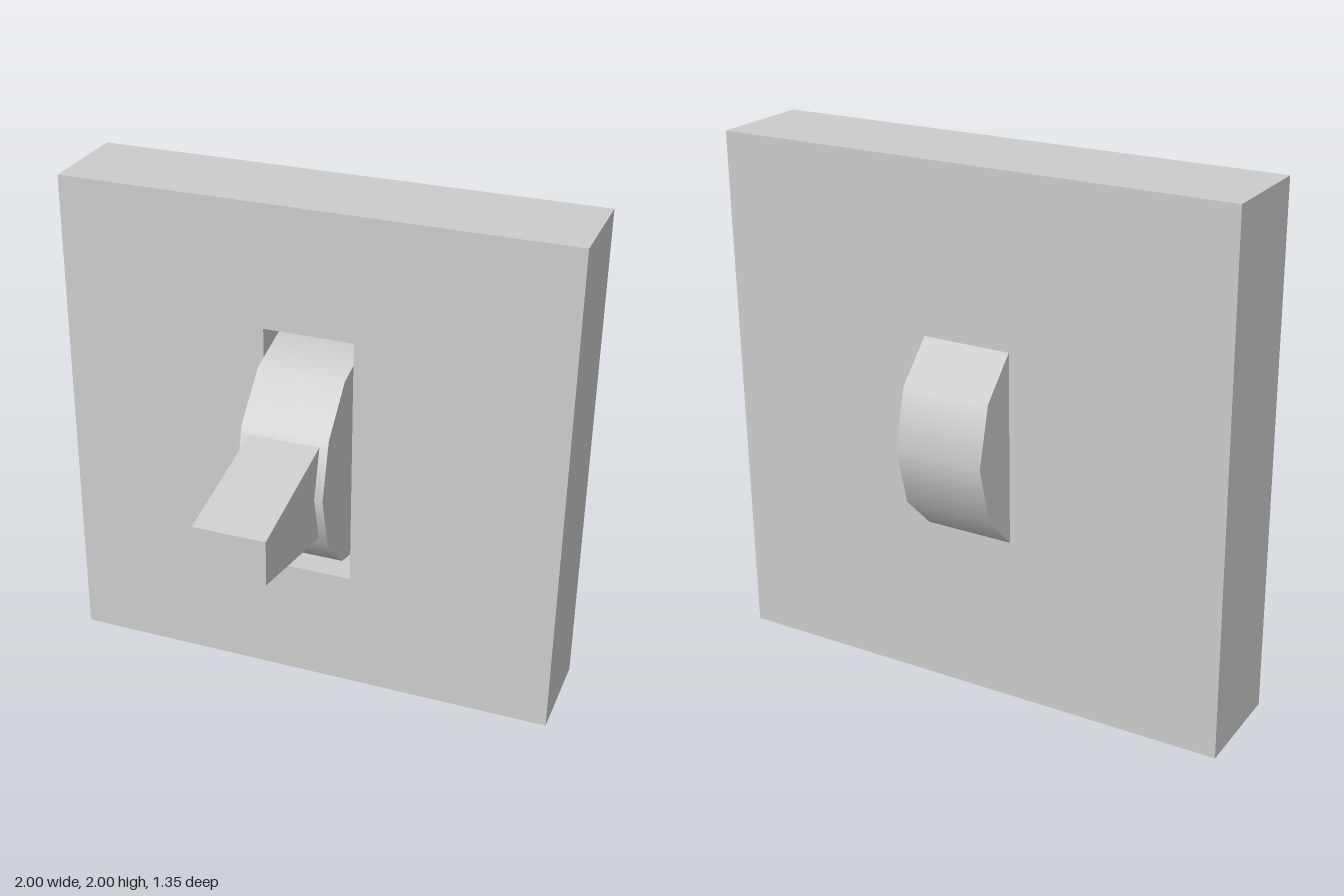
import * as THREE from 'three';

const material = new THREE.MeshStandardMaterial({ color: 0xcccccc });

function add(group, name, geometry) {
  const mesh = new THREE.Mesh(geometry, material);
  mesh.name = name;
  group.add(mesh);
  return mesh;
}

export function createModel() {
  const group = new THREE.Group();
  group.name = 'toggleSwitch';

  const backZ = -0.475, frontZ = -0.075, recess = 0.3;
  const backThickness = frontZ - backZ - recess;
  const offsetX = -0.0025; // the moving parts sit a hair off centre

  // Square plate, front layer with the slot cut out
  const face = new THREE.Shape();
  face.moveTo(-1, 0).lineTo(1, 0).lineTo(1, 2).lineTo(-1, 2).closePath();
  const slot = new THREE.Path();
  slot.moveTo(-0.18, 0.49).lineTo(-0.18, 1.51).lineTo(0.176, 1.51).lineTo(0.176, 0.49).closePath();
  face.holes.push(slot);
  const front = new THREE.ExtrudeGeometry(face, { depth: recess, bevelEnabled: false });
  front.translate(0, 0, frontZ - recess);
  add(group, 'slottedPlate', front);

  // Solid back layer, which forms the slot floor
  const back = new THREE.BoxGeometry(2, 2, backThickness);
  back.translate(0, 1, backZ + backThickness / 2);
  add(group, 'backPlate', back);

  // Twelve-sided pivot wheel through the plate
  const wheel = new THREE.CylinderGeometry(0.446, 0.446, 0.342, 12);
  wheel.rotateZ(Math.PI / 2).translate(offsetX, 1, -0.229);
  add(group, 'pivotWheel', wheel);

  // Tapered lever: side profile in (z, y), extruded across x
  const profile = new THREE.Shape();
  profile.moveTo(0.1, 0.796).lineTo(0.678, 0.915).lineTo(0.678, 1.09).lineTo(0.1, 1.207).closePath();
  const lever = new THREE.ExtrudeGeometry(profile, { depth: 0.276, bevelEnabled: false });
  lever.rotateY(-Math.PI / 2).translate(0.138 + offsetX, 0, 0);
  add(group, 'lever', lever);

  return group;
}
